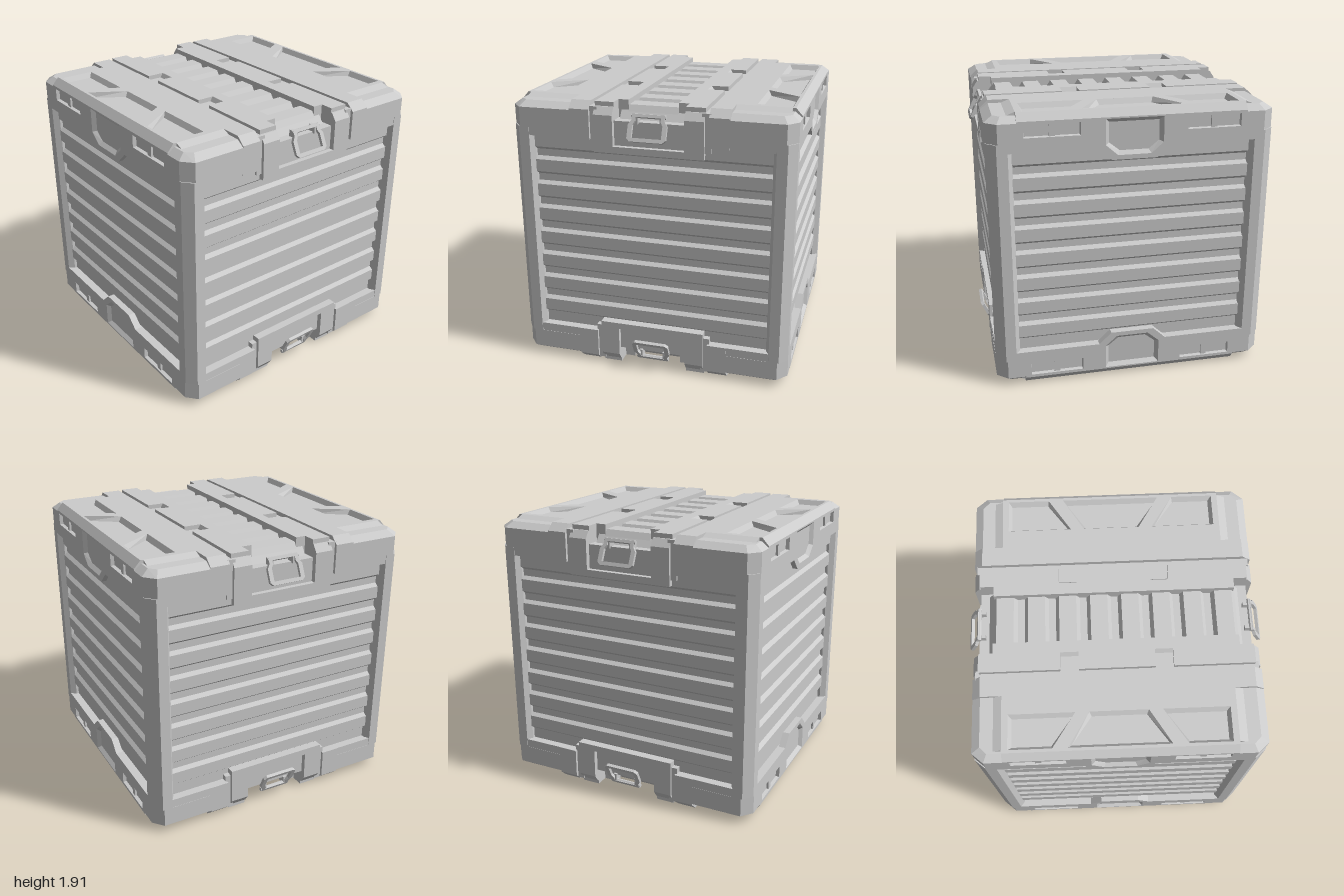
import * as THREE from 'three';
import { ConvexGeometry } from 'three/addons/geometries/ConvexGeometry.js';

const H = 1.91;
const solid = new THREE.MeshStandardMaterial({ color: 0xcccccc, flatShading: true });
const thin = new THREE.MeshStandardMaterial({ color: 0xcccccc, flatShading: true, side: THREE.DoubleSide });

function add(parent, name, geometry, material = solid) {
  const mesh = new THREE.Mesh(geometry, material);
  mesh.name = name;
  parent.add(mesh);
  return mesh;
}
// box from its limits
const box = (x0, x1, y0, y1, z0, z1) =>
  new THREE.BoxGeometry(x1 - x0, y1 - y0, z1 - z0).translate((x0 + x1) / 2, (y0 + y1) / 2, (z0 + z1) / 2);
const toShape = (pts) => new THREE.Shape(pts.map(([x, y]) => new THREE.Vector2(x, y)));
const mirrorX = (pts) => pts.map(([x, ...r]) => [-x, ...r]).reverse();
const hull = (pts) => new ConvexGeometry(pts.map((p) => new THREE.Vector3(...p)));
// convex XY profile running from z0 to z1
const prism = (pts, z0, z1) => hull([z0, z1].flatMap((z) => pts.map(([x, y]) => [x, y, z])));

function plate(pts, holes, depth) {
  const s = toShape(pts);
  s.holes = holes.map((h) => new THREE.Path(h.map(([x, y]) => new THREE.Vector2(x, y))));
  return new THREE.ExtrudeGeometry(s, { depth, bevelEnabled: false });
}

// sunken panel with sloping walls; the opening lies at z = 0
function pocket(parent, name, pts, depth, inset) {
  const xs = pts.map((p) => p[0]), ys = pts.map((p) => p[1]);
  const mid = (a) => (Math.min(...a) + Math.max(...a)) / 2;
  const span = (a) => Math.max(...a) - Math.min(...a);
  const cx = mid(xs), cy = mid(ys);
  const sx = 1 - (2 * inset) / span(xs), sy = 1 - (2 * inset) / span(ys);
  const inner = pts.map(([x, y]) => [cx + (x - cx) * sx, cy + (y - cy) * sy]);
  const v = [];
  pts.forEach((a, i) => {
    const j = (i + 1) % pts.length, b = pts[j], c = inner[j], d = inner[i];
    v.push(...a, 0, ...d, -depth, ...c, -depth, ...a, 0, ...c, -depth, ...b, 0);
  });
  const walls = new THREE.BufferGeometry();
  walls.setAttribute('position', new THREE.Float32BufferAttribute(v, 3));
  walls.computeVertexNormals();
  const g = new THREE.Group();
  g.name = name;
  add(g, name + 'Walls', walls, thin);
  add(g, name + 'Floor', new THREE.ShapeGeometry(toShape(inner)).translate(0, 0, -depth), thin);
  parent.add(g);
  return g;
}

// one end of the lid: fascia, top plate and corner blocks
function lidEnd() {
  const g = new THREE.Group();
  g.name = 'lidEnd';
  add(g, 'lidBody', box(-0.81, 0.81, 1.66, 1.86, 0.4, 0.925));

  // fascia with badge recess and two slots
  const badge = [[-0.19, 1.85], [-0.19, 1.68], [-0.11, 1.61], [0.11, 1.61], [0.19, 1.68], [0.19, 1.85]];
  const slot = [[0.35, 1.755], [0.71, 1.755], [0.71, 1.84], [0.35, 1.84]];
  const half = [[0.15, 1.58], [0.235, 1.66], [0.81, 1.66], [0.81, 1.72], [0.75, 1.72], [0.75, 1.86]];
  const recesses = [badge, slot, mirrorX(slot)];
  add(g, 'fascia', plate([...half, ...mirrorX(half)], recesses, 0.05).translate(0, 0, 0.905));
  recesses.forEach((r, i) => {
    pocket(g, i ? 'slot' : 'badgeRecess', r, 0.025, i ? 0.004 : 0.025).position.z = 0.955;
  });
  for (const s of [-1, 1]) add(g, 'slotBar', box(s * 0.53 - 0.02, s * 0.53 + 0.02, 1.757, 1.838, 0.925, 0.945));
  add(g, 'frontChamfer', hull([-0.75, 0.75].flatMap((x) => [[x, 1.86, 0.9], [x, 1.86, 0.955], [x, 1.91, 0.91], [x, 1.91, 0.9]])));

  // top plate with three sunken trapezoids
  const side = [[0.43, -0.89], [0.71, -0.89], [0.71, -0.66], [0.28, -0.66]];
  const centre = [[-0.33, -0.89], [0.33, -0.89], [0.19, -0.66], [-0.19, -0.66]];
  const sunken = [side, centre, mirrorX(side)];
  const top = new THREE.Group();
  top.name = 'topPlate';
  top.rotation.x = -Math.PI / 2;
  top.position.y = 1.86;
  add(top, 'topSheet', plate([[-0.75, -0.91], [0.75, -0.91], [0.75, -0.53], [-0.75, -0.53]], sunken, 0.05));
  sunken.forEach((p) => { pocket(top, 'topRecess', p, 0.035, 0.022).position.z = 0.05; });
  g.add(top);

  // full-width strap next to the groove
  const strap = [[0.945, 1.66], [0.945, 1.86], [0.89, 1.91]];
  add(g, 'strap', prism([...strap, ...mirrorX(strap)], 0.4, 0.535));

  for (const s of [-1, 1]) {
    const low = [[0.74, 0.535], [0.945, 0.535], [0.945, 0.89], [0.87, 0.955], [0.74, 0.955]];
    const high = [[0.74, 0.535], [0.89, 0.535], [0.89, 0.86], [0.845, 0.905], [0.74, 0.905]];
    const ring = (pts, y) => pts.map(([x, z]) => [s * x, y, z]);
    add(g, 'cornerBlock', hull([...ring(low, 1.72), ...ring(low, 1.85), ...ring(high, 1.888)]));
    add(g, 'plateSlope', prism([[s * 0.74, 1.91], [s * 0.75, 1.91], [s * 0.81, 1.886], [s * 0.74, 1.88]], 0.535, 0.89));
    add(g, 'sideRail', box(Math.min(s * 0.8, s * 0.943), Math.max(s * 0.8, s * 0.943), 1.66, 1.72, 0.4, 0.84));
  }
  // groove floor between end and middle band
  add(g, 'grooveFloor', box(-0.925, 0.925, 1.62, 1.88, 0.35, 0.41));

  // rail of the middle band, notched along the groove
  const rail = [[0.945, 1.58], [0.945, 1.83], [0.91, 1.88]];
  add(g, 'bandRail', prism([...rail, ...mirrorX(rail)], 0.24, 0.37));
  const edge = [[0.25, -0.37], [0.25, -0.25], [0.37, -0.25], [0.37, -0.37], [0.9, -0.37], [0.9, -0.24], [0.81, -0.24], [0.81, -0.17]];
  const sheet = add(g, 'bandSheet', plate([...edge, ...mirrorX(edge)], [], 0.07));
  sheet.rotation.x = -Math.PI / 2;
  sheet.position.y = 1.84;
  for (const s of [-1, 1]) {
    const a = s * 0.25, b = s * 0.37;
    add(g, 'notchRamp', hull([a, b].flatMap((x) => [[x, 1.87, 0.24], [x, 1.91, 0.25], [x, 1.87, 0.275]])));
  }
  return g;
}

// side end of the middle band with its pull handle
function bandEnd() {
  const g = new THREE.Group();
  g.name = 'bandEnd';
  add(g, 'shelf', prism([[0.7, 1.58], [0.91, 1.58], [0.91, 1.79], [0.7, 1.79]], -0.245, 0.245));
  add(g, 'endSlope', prism([[0.77, 1.7], [0.85, 1.79], [0.785, 1.876], [0.77, 1.876]], -0.22, 0.22));
  add(g, 'sill', box(0.8, 0.945, 1.58, 1.625, -0.25, 0.25));

  const handle = new THREE.Group();
  handle.name = 'handle';
  handle.position.set(0.938, 1.757, 0);
  handle.rotation.z = 0.44;
  const outer = [[-0.11, -0.09], [0.11, -0.09], [0.13, -0.07], [0.13, 0.02], [0.11, 0.05], [0.11, 0.09], [-0.11, 0.09], [-0.11, 0.05], [-0.13, 0.02], [-0.13, -0.07]];
  const hole = [[-0.1, -0.065], [0.1, -0.065], [0.1, 0.02], [0.085, 0.045], [0.085, 0.07], [-0.085, 0.07], [-0.085, 0.045], [-0.1, 0.02]];
  add(handle, 'handleLoop', plate(outer, [hole], 0.022)).rotation.y = Math.PI / 2;
  add(handle, 'hingePin', new THREE.CylinderGeometry(0.014, 0.014, 0.23, 8).rotateX(Math.PI / 2).translate(0.008, 0.08, 0));
  g.add(handle);
  for (const z of [-0.085, 0.085]) add(g, 'hingeLug', box(0.87, 0.925, 1.78, 1.835, z - 0.012, z + 0.012));
  return g;
}

function lid() {
  const g = new THREE.Group();
  g.name = 'lid';
  for (const turn of [0, Math.PI]) {
    for (const part of [lidEnd(), bandEnd()]) {
      part.rotation.y = turn;
      g.add(part);
    }
  }
  // ribbed trough across the middle
  add(g, 'troughFloor', box(-0.81, 0.81, 1.62, 1.84, -0.245, 0.245));
  for (let i = 0; i < 8; i++) {
    const x = (i - 3.5) * 0.21;
    add(g, 'rib', prism([[x - 0.085, 1.835], [x + 0.085, 1.835], [x + 0.058, 1.876], [x - 0.058, 1.876]], -0.17, 0.17));
  }
  return g;
}

// corrugated wall, profile in x (outwards) and y
function slatWall(length) {
  const pts = [[0.8, 1.7]];
  for (let k = 0; k < 8; k++) {
    const y = 1.575 - 0.175 * k;
    pts.push([0.885, y + 0.107], [0.91, y + 0.085], [0.91, y], [0.885, y - 0.02]);
  }
  pts.push([0.885, 0.2], [0.8, 0.2]);
  return plate(pts.reverse(), [], length).translate(0, 0, -length / 2);
}

export function createModel() {
  const model = new THREE.Group();
  model.name = 'cargoCrate';

  // corner pillars
  const section = [[0.78, 0.915], [0.81, 0.955], [0.88, 0.955], [0.945, 0.9], [0.945, 0.83], [0.905, 0.805], [0.78, 0.805]];
  for (const sx of [-1, 1]) for (const sz of [-1, 1])
    add(model, 'pillar', hull([0.19, 1.72].flatMap((y) => section.map(([x, z]) => [sx * x, y, sz * z]))));

  // four slatted walls
  for (let i = 0; i < 4; i++) {
    const wall = new THREE.Group();
    wall.name = i % 2 ? 'endWall' : 'sideWall';
    wall.rotation.y = (i * Math.PI) / 2;
    add(wall, 'slats', slatWall(i % 2 ? 1.6 : 1.64)).position.x = i % 2 ? 0.01 : 0;
    model.add(wall);
  }

  // lid and the matching base
  const base = lid();
  base.name = 'base';
  base.rotation.x = Math.PI;
  base.position.y = H;
  model.add(lid(), base);
  return model;
}
